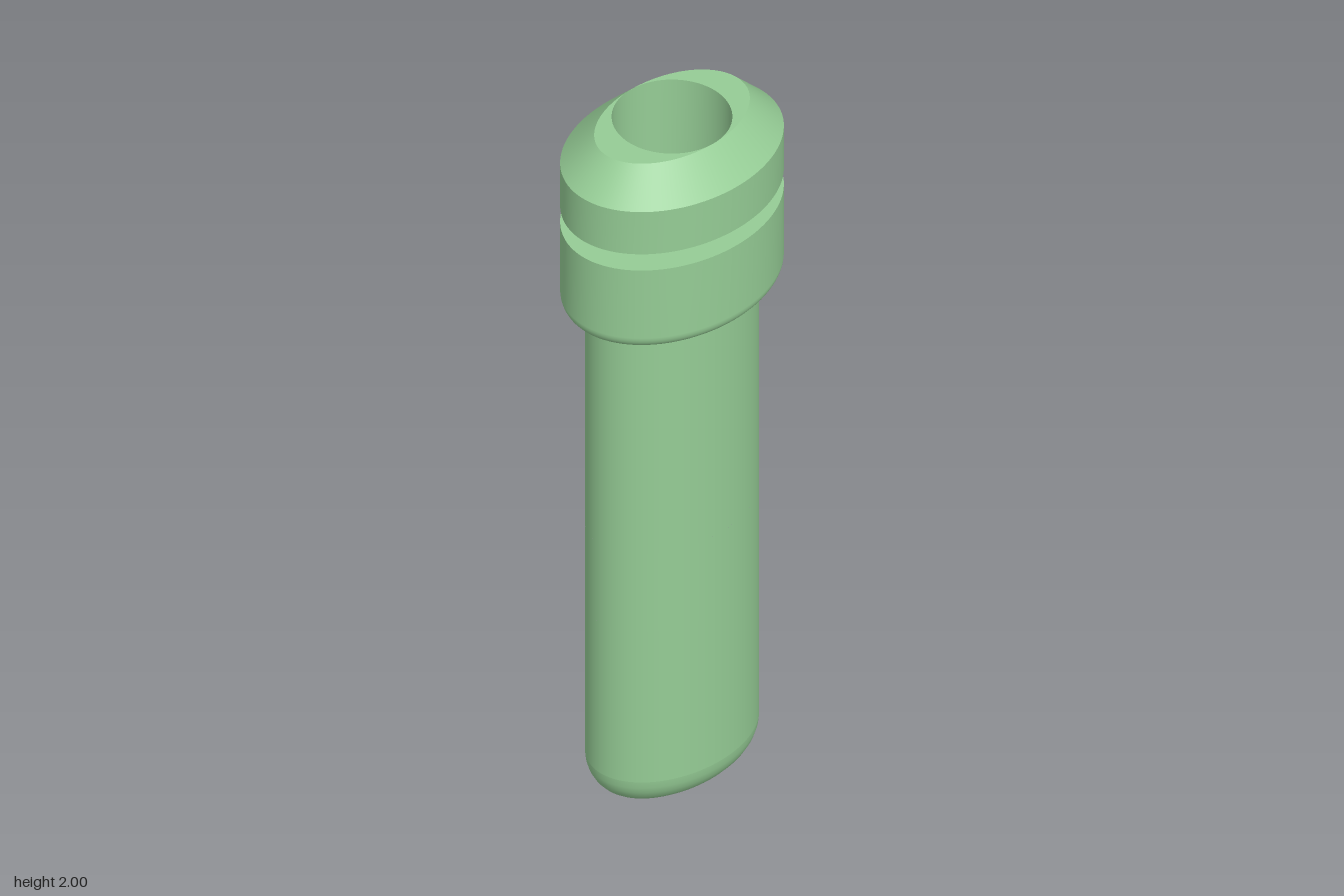
import * as THREE from 'three';
import { mergeVertices } from 'three/addons/utils/BufferGeometryUtils.js';

const RX = 0.245, RZ = 0.17;          // body ellipse radii
const SLOT_Y = 0.695, PATCH_W = 0.09, PATCH_H = 0.12;

// Surface through rows of points; seams are welded for smooth shading.
function grid(rows) {
  const n = rows[0].length, index = [];
  for (let i = 0; i < rows.length - 1; i++) {
    for (let j = 0; j < n - 1; j++) {
      const a = i * n + j, b = a + n;
      index.push(a, b, a + 1, b, b + 1, a + 1);
    }
  }
  const geo = new THREE.BufferGeometry();
  geo.setAttribute('position', new THREE.Float32BufferAttribute(rows.flat(2), 3));
  geo.setIndex(index);
  const welded = mergeVertices(geo, 1e-5);
  welded.computeVertexNormals();
  return welded;
}

// Elliptical ring [rx, rz, y], starting at the back.
function ring([rx, rz, y], t0 = 0, n = 96) {
  return Array.from({ length: n + 1 }, (_, j) => {
    const t = t0 + (j / n) * (2 * Math.PI - 2 * t0);
    return [rx * Math.sin(t), y, -rz * Math.cos(t)];
  });
}
const loft = (rings, t0) => grid(rings.map((r) => ring(r, t0)));

// Ring offset outward from the body ellipse by d.
const off = (d, y) => [RX + d, RZ + d, y];

// Quarter-round edge from the underside out to the wall.
function fillet(d, y, r, steps = 8) {
  return Array.from({ length: steps + 1 }, (_, i) => {
    const a = (i / steps) * Math.PI / 2;
    return off(d - r + r * Math.sin(a), y + r - r * Math.cos(a));
  });
}

// Exact ellipse normals, so wall pieces meet without a visible seam.
function wallNormals(geo) {
  const p = geo.attributes.position, n = geo.attributes.normal;
  const v = new THREE.Vector3();
  for (let i = 0; i < p.count; i++) {
    v.set(p.getX(i) / RX ** 2, 0, p.getZ(i) / RZ ** 2).normalize();
    n.setXYZ(i, v.x, v.y, v.z);
  }
  return geo;
}

export function createModel() {
  const model = new THREE.Group();
  const green = new THREE.MeshStandardMaterial({ color: 0x95cc95 });
  const grey = new THREE.MeshStandardMaterial({ color: 0xcccccc });
  const add = (parent, name, geo, mat = green) => {
    const mesh = new THREE.Mesh(geo, mat);
    mesh.name = name;
    parent.add(mesh);
    return mesh;
  };

  // Body: rounded foot and a wall left open around the switch slot
  const body = new THREE.Group();
  body.name = 'body';
  model.add(body);
  const low = SLOT_Y - PATCH_H, high = SLOT_Y + PATCH_H;
  const gap = Math.asin(PATCH_W / RX);
  add(body, 'footFace', loft([[0, 0, 0.012], off(-0.1, 0.012)]));
  add(body, 'footEdge', loft(fillet(0, 0.012, 0.1)));
  add(body, 'lowerWall', wallNormals(loft([off(0, 0.112), off(0, low)])));
  add(body, 'switchBand', wallNormals(loft([off(0, low), off(0, high)], gap)));
  add(body, 'upperWall', wallNormals(loft([off(0, high), off(0, 1.485)])));

  // Switch slot: curved panel with a capsule opening, sunk walls and floor
  const N = 64, w = 0.065, s = 0.02, floorZ = -0.135;
  const clamp = (v) => Math.max(-1, Math.min(1, v * Math.SQRT2));
  const surfaceZ = (x) => -RZ * Math.sqrt(1 - (x / RX) ** 2);
  const loop = (k, z) => Array.from({ length: N + 1 }, (_, j) => {
    const a = (j / N) * 2 * Math.PI, c = Math.cos(a), si = Math.sin(a);
    const hole = [w * c, w * si + s * clamp(si * 4)];
    const x = THREE.MathUtils.lerp(PATCH_W * clamp(c), hole[0], k);
    const y = THREE.MathUtils.lerp(PATCH_H * clamp(si), hole[1], k);
    return [x, SLOT_Y + y, z ?? surfaceZ(x)];
  });
  add(body, 'switchPanel', wallNormals(grid([0, 0.25, 0.5, 0.75, 1].map((k) => loop(k)))));
  add(body, 'slotWall', grid([loop(1), loop(1, floorZ)]));
  const centre = Array.from({ length: N + 1 }, () => [0, SLOT_Y, floorZ]);
  add(body, 'slotFloor', grid([loop(1, floorZ), centre]));

  // Round sliding button at the top of the slot
  const button = add(model, 'switchButton', new THREE.CylinderGeometry(0.062, 0.062, 0.06, 48));
  button.rotation.x = -Math.PI / 2;
  button.position.set(0, 0.717, -0.162);

  // Head: collar, groove, chamfered cap and round bore
  const head = new THREE.Group();
  head.name = 'head';
  model.add(head);
  const bore = 0.147;
  const parts = {
    collarUnderside: [off(0, 1.485), off(0.02, 1.485)],
    collar: [...fillet(0.061, 1.485, 0.041), off(0.061, 1.735)],
    collarTop: [off(0.061, 1.735), off(-0.01, 1.735)],
    neck: [off(-0.01, 1.735), off(-0.01, 1.785)],
    capUnderside: [off(-0.01, 1.785), off(0.061, 1.785)],
    capWall: [off(0.061, 1.785), off(0.061, 1.915)],
    capChamfer: [off(0.061, 1.915), off(-0.023, 2)],
    rim: [off(-0.023, 2), [bore, bore, 2]],
    boreWall: [[bore, bore, 2], [bore, bore, 1.7]],
  };
  for (const [name, rings] of Object.entries(parts)) add(head, name, loft(rings));
  add(head, 'lens', loft([[bore, bore, 1.7], [0, 0, 1.7]]), grey);

  // Small port plate under the foot
  const plate = new THREE.Shape();
  plate.absarc(0.033, 0, 0.02, -Math.PI / 2, Math.PI / 2);
  plate.absarc(-0.033, 0, 0.02, Math.PI / 2, Math.PI * 1.5);
  const plateGeo = new THREE.ExtrudeGeometry(plate, { depth: 0.02, bevelEnabled: false, curveSegments: 12 });
  plateGeo.rotateX(-Math.PI / 2);
  add(model, 'bottomPort', plateGeo, grey);

  return model;
}
